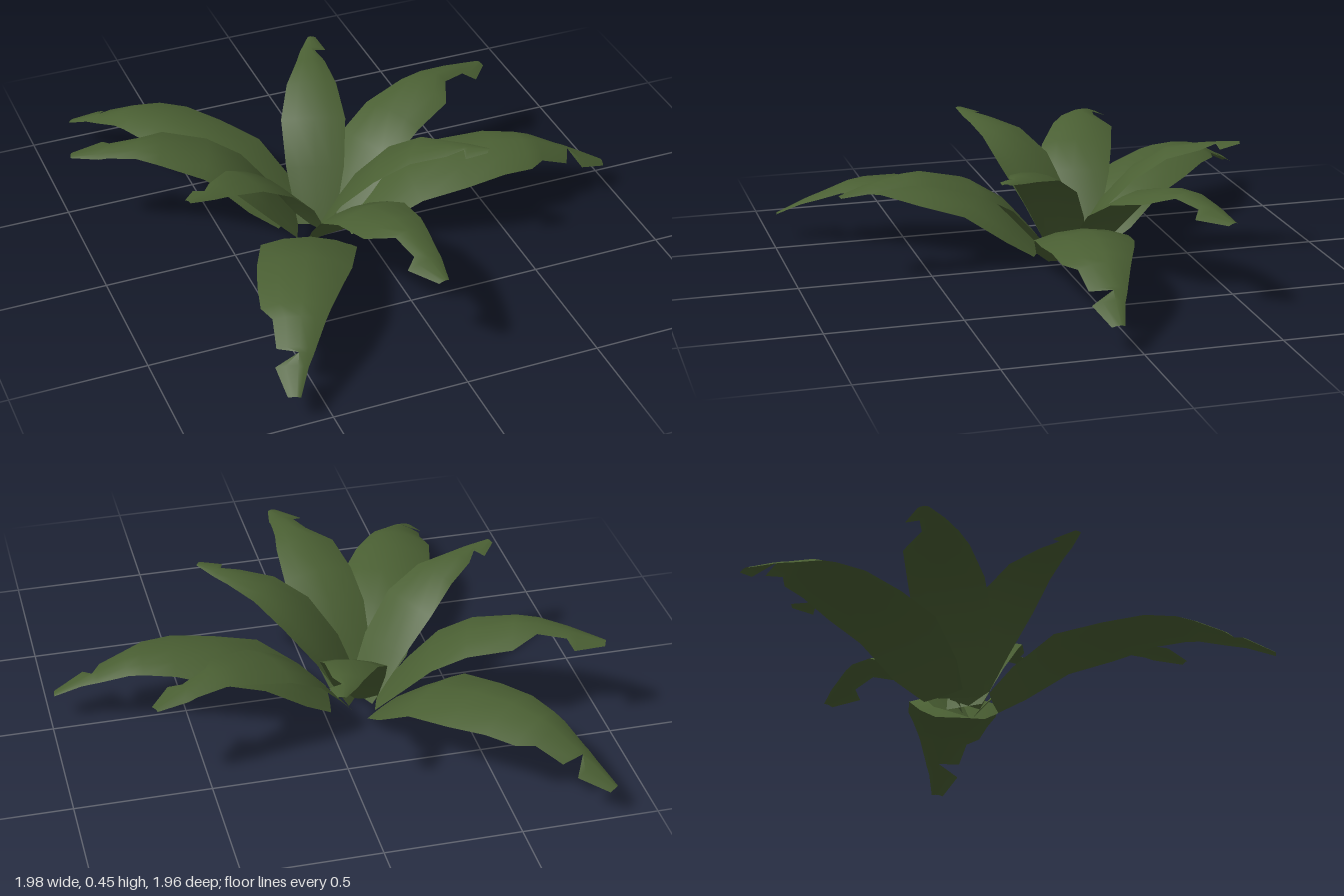
import * as THREE from 'three';

const leafGreen = new THREE.MeshStandardMaterial({ color: 0x4a5f33, side: THREE.DoubleSide });
leafGreen.name = 'leafGreen';

// Cross-sections along a leaf: [distance out, height, left half-width, right half-width].
// Sudden changes of width near the end make the torn tips.
const LOW = [
  [0.11, 0, 0.09, 0.09], [0.2, 0.08, 0.14, 0.15], [0.35, 0.2, 0.17, 0.18], [0.53, 0.248, 0.16, 0.18],
  [0.69, 0.268, 0.13, 0.165], [0.81, 0.255, 0.1, 0.145], [0.87, 0.24, 0.085, 0.1], [0.975, 0.19, 0.055, 0.08],
  [0.995, 0.182, 0.05, 0], [1.04, 0.16, 0.035, 0.08], [1.14, 0.105, 0.015, 0.03],
];
const MIDDLE = [
  [0.07, 0, 0.08, 0.08], [0.17, 0.13, 0.12, 0.12], [0.27, 0.25, 0.14, 0.14], [0.4, 0.335, 0.135, 0.14],
  [0.57, 0.38, 0.105, 0.13], [0.66, 0.385, 0.08, 0.05], [0.77, 0.365, 0.055, 0.04],
  [0.805, 0.355, 0.05, 0.085], [0.91, 0.33, 0.015, 0.025],
];
const TOP = [
  [0.01, 0, 0.07, 0.07], [0.12, 0.19, 0.11, 0.11], [0.24, 0.33, 0.125, 0.12], [0.37, 0.415, 0.1, 0.09],
  [0.5, 0.437, 0.06, 0.05], [0.56, 0.442, 0.045, 0.012], [0.575, 0.443, 0.04, 0.055], [0.65, 0.447, 0.012, 0.018],
];

// Leaf pointing along +x: nearly flat at the foot, arching further out
function leafGeometry(sections) {
  const across = [-1, -0.55, 0, 0.55, 1];
  const n = across.length;
  const positions = [];
  const indices = [];
  sections.forEach(([r, y, left, right], i) => {
    const a = sections[Math.max(i - 1, 0)];
    const b = sections[Math.min(i + 1, sections.length - 1)];
    const slope = Math.atan2(b[1] - a[1], b[0] - a[0]);
    const arch = 0.28 * Math.min(1, r / 0.5);
    for (const t of across) {
      const z = t * (t < 0 ? left : right);
      const drop = arch * Math.abs(z * t);
      positions.push(r + Math.sin(slope) * drop, Math.max(0, y - Math.cos(slope) * drop), z);
    }
    if (i === 0) return;
    for (let j = 0; j < n - 1; j++) {
      const p = (i - 1) * n + j;
      const q = i * n + j;
      indices.push(p, p + 1, q, p + 1, q + 1, q);
    }
  });
  const geometry = new THREE.BufferGeometry();
  geometry.setAttribute('position', new THREE.Float32BufferAttribute(positions, 3));
  geometry.setIndex(indices);
  geometry.computeVertexNormals();
  return geometry;
}

export function createModel() {
  const plant = new THREE.Group();
  plant.name = 'leafyPlant';
  const rosette = new THREE.Group();
  rosette.name = 'rosette';
  rosette.position.set(-0.15, 0, -0.065);
  plant.add(rosette);

  // Three tiers of three leaves, each given by the direction [x, z] of its tip
  const tiers = [
    ['lowLeaf', LOW, [[-0.7, -0.9], [1.15, 0.145], [-0.47, 1.035]]],
    ['middleLeaf', MIDDLE, [[-0.84, -0.325], [0.85, -0.375], [0.13, 0.895]]],
    ['topLeaf', TOP, [[0.22, -0.62], [0.53, 0.375], [-0.575, 0.275]]],
  ];
  for (const [name, sections, directions] of tiers) {
    const geometry = leafGeometry(sections);
    directions.forEach(([x, z], i) => {
      const leaf = new THREE.Mesh(geometry, leafGreen);
      leaf.name = name + (i + 1);
      leaf.rotation.y = -Math.atan2(z, x);
      rosette.add(leaf);
    });
  }
  return plant;
}
